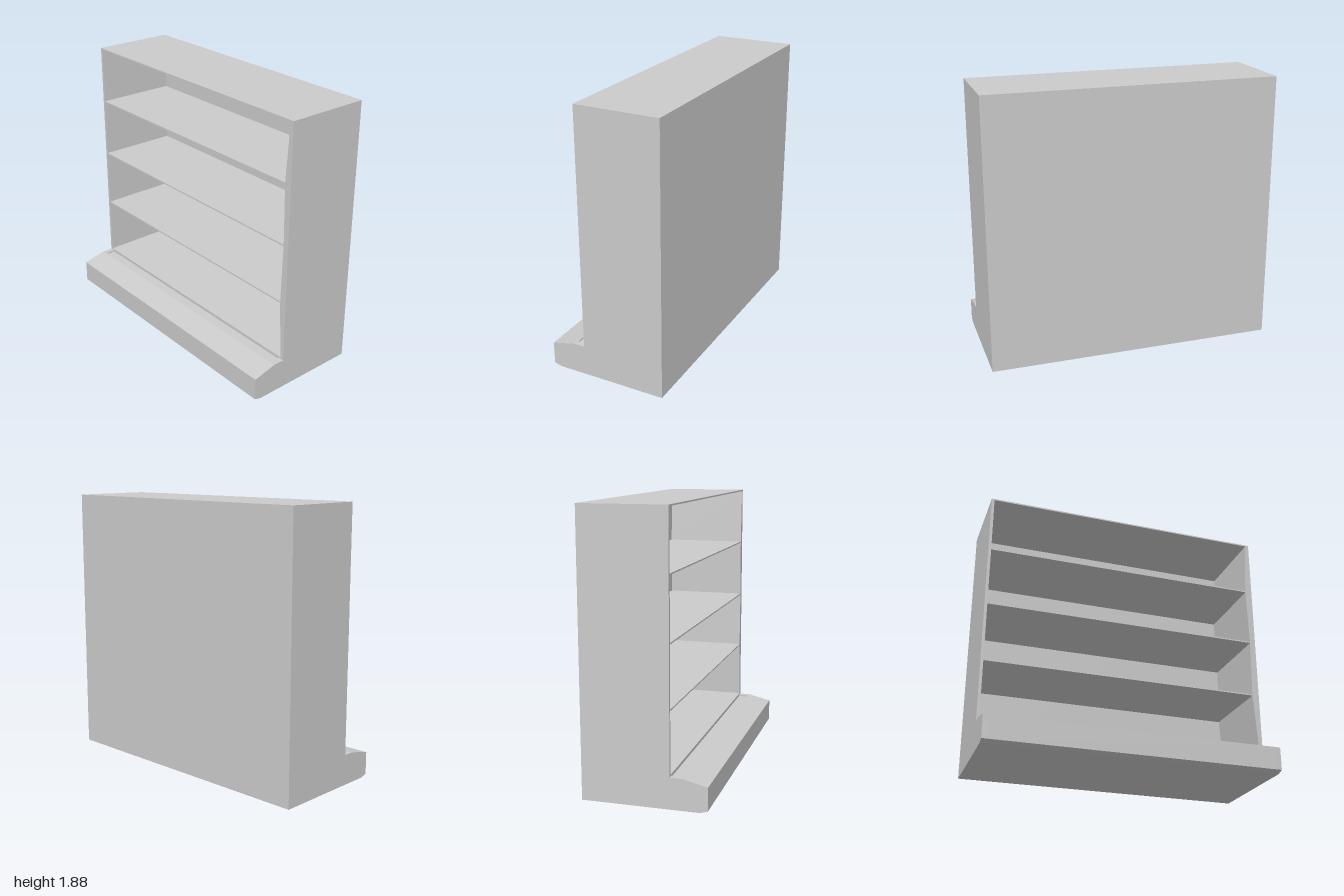
import * as THREE from 'three';

const material = new THREE.MeshStandardMaterial({ color: 0xcccccc, flatShading: true });

const polygon = (Kind, points) => new Kind(points.map(([a, b]) => new THREE.Vector2(a, b)));

function addMesh(group, name, geometry) {
  const mesh = new THREE.Mesh(geometry, material);
  mesh.name = name;
  group.add(mesh);
  return mesh;
}

// Extrudes a (z, y) profile along x, from x0 to x1
function sideProfile(points, x0, x1) {
  const shape = polygon(THREE.Shape, points.map(([z, y]) => [-z, y]));
  const geometry = new THREE.ExtrudeGeometry(shape, { depth: x1 - x0, bevelEnabled: false });
  geometry.rotateY(Math.PI / 2);
  geometry.translate(x0, 0, 0);
  return geometry;
}

export function createModel() {
  const group = new THREE.Group();
  group.name = 'shelfUnit';

  const back = -0.415, innerBack = -0.405, front = 0.17, height = 1.88;

  // Carcass: sides, top, base and thin shelves around four open bays
  const carcass = polygon(THREE.Shape, [[-1, 0], [1, 0], [1, height], [-1, height]]);
  const bays = [ // bottom, top, right edge at bottom, right edge at top
    [0.22, 0.63, 0.975, 0.95],
    [0.64, 1.045, 0.95, 0.96],
    [1.055, 1.465, 0.96, 0.95],
    [1.475, 1.87, 0.95, 0.975],
  ];
  for (const [y0, y1, right0, right1] of bays) {
    carcass.holes.push(polygon(THREE.Path, [[-0.98, y0], [-0.98, y1], [right1, y1], [right0, y0]]));
  }
  const carcassGeometry = new THREE.ExtrudeGeometry(carcass, { depth: front - innerBack, bevelEnabled: false });
  carcassGeometry.translate(0, 0, innerBack);
  addMesh(group, 'carcass', carcassGeometry);

  // Back panel closing the bays
  const panel = addMesh(group, 'backPanel', new THREE.BoxGeometry(2, height, innerBack - back));
  panel.position.set(0, height / 2, (back + innerBack) / 2);

  // Projecting plinth with a sloped top, a chamfered toe and a shallow channel
  const nose = [[front, 0], [0.365, 0], [0.415, 0.015], [0.415, 0.17], [0.25, 0.21]];
  const solid = [...nose, [front, 0.21]];
  const channelled = [...nose, [0.24, 0.21], [0.24, 0.2], [front, 0.2]];
  addMesh(group, 'plinth', sideProfile(channelled, -0.96, 0.96));
  addMesh(group, 'plinthEndRight', sideProfile(solid, -1, -0.96));
  addMesh(group, 'plinthEndLeft', sideProfile(solid, 0.96, 1));

  return group;
}
